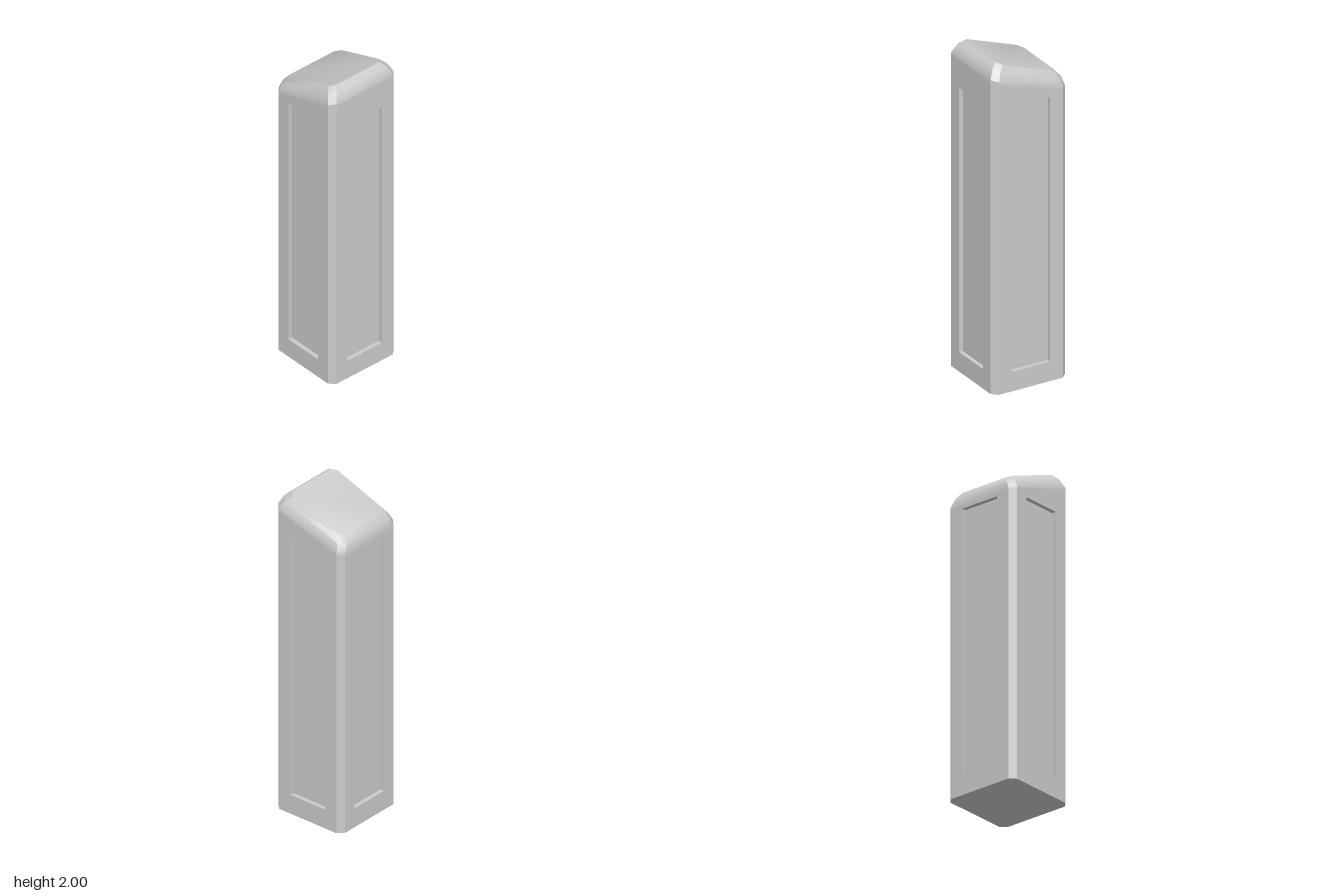
import * as THREE from 'three';
import { toCreasedNormals } from 'three/addons/utils/BufferGeometryUtils.js';

const material = new THREE.MeshStandardMaterial({ color: 0xcccccc });

// Eight-cornered ring with cut corners; height(z) gives the slope
function ring(hx, zf, zb, c, height) {
  return [
    [hx, zf - c], [hx, zb + c], [hx - c, zb], [-hx + c, zb],
    [-hx, zb + c], [-hx, zf - c], [-hx + c, zf], [hx - c, zf],
  ].map(([x, z]) => new THREE.Vector3(x, height(z), z));
}

// Closed band of quads between two rings of equal length
function band(out, lower, upper) {
  const n = lower.length;
  for (let i = 0; i < n; i++) {
    const j = (i + 1) % n;
    face(out, [lower[i], lower[j], upper[j], upper[i]]);
  }
}

// Flat convex face as a triangle fan
function face(out, pts) {
  for (let i = 1; i < pts.length - 1; i++) out.push(pts[0], pts[i], pts[i + 1]);
}

function mesh(name, points, crease) {
  const geometry = new THREE.BufferGeometry().setFromPoints(points);
  geometry.computeVertexNormals();
  const m = new THREE.Mesh(crease ? toCreasedNormals(geometry, crease) : geometry, material);
  m.name = name;
  return m;
}

// Wall with a sunken rectangular panel
function panelWall(a, b, b2, a2) {
  const HALF = 0.125, LOW = 0.12, HIGH = 1.74, DEPTH = 0.025;
  const along = b.clone().sub(a).setY(0).normalize();
  const inward = new THREE.Vector3(0, 1, 0).cross(along).normalize();
  const middle = a.clone().add(b).multiplyScalar(0.5).setY(0);
  const rim = [[-HALF, LOW], [HALF, LOW], [HALF, HIGH], [-HALF, HIGH]].map(([s, y]) =>
    middle.clone().addScaledVector(along, s).setY(y));
  // inward must point to the central axis
  if (inward.dot(middle) > 0) inward.negate();
  const sunk = rim.map((p) => p.clone().addScaledVector(inward, DEPTH));
  const out = [];
  band(out, [a, b, b2, a2], rim);
  band(out, rim, sunk);
  face(out, sunk);
  return out;
}

export function createModel() {
  const group = new THREE.Group();
  group.name = 'pillar';

  const wallTop = (z) => 1.775 + (z + 0.24) * 0.3125;
  const foot = ring(0.24, 0.24, -0.24, 0.033, () => 0);
  const shoulder = ring(0.24, 0.24, -0.24, 0.033, (z) => wallTop(z) - 0.02);

  // Four panelled walls and four cut corners
  const sides = ['left', 'back', 'right', 'front'];
  for (let i = 0; i < 8; i++) {
    const j = (i + 1) % 8;
    const quad = [foot[i], foot[j], shoulder[j], shoulder[i]];
    if (i % 2 === 0) {
      group.add(mesh(sides[i / 2] + 'PanelWall', panelWall(...quad)));
    } else {
      const out = [];
      face(out, quad);
      group.add(mesh('cutCorner' + (i + 1) / 2, out));
    }
  }

  // Underside
  const base = [];
  face(base, [...foot].reverse());
  group.add(mesh('base', base));

  // Sloped cap with rounded edges
  const capRings = [
    shoulder,
    ring(0.24, 0.24, -0.24, 0.033, wallTop),
    ring(0.218, 0.215, -0.23, 0.033, (z) => 1.82 + (z + 0.23) * 0.344),
    ring(0.19, 0.18, -0.2, 0.03, (z) => 1.86 + (z + 0.2) * 0.3684),
  ];
  const cap = [];
  for (let i = 0; i < 3; i++) band(cap, capRings[i], capRings[i + 1]);
  face(cap, capRings[3]);
  group.add(mesh('slopedCap', cap, THREE.MathUtils.degToRad(32)));

  return group;
}
